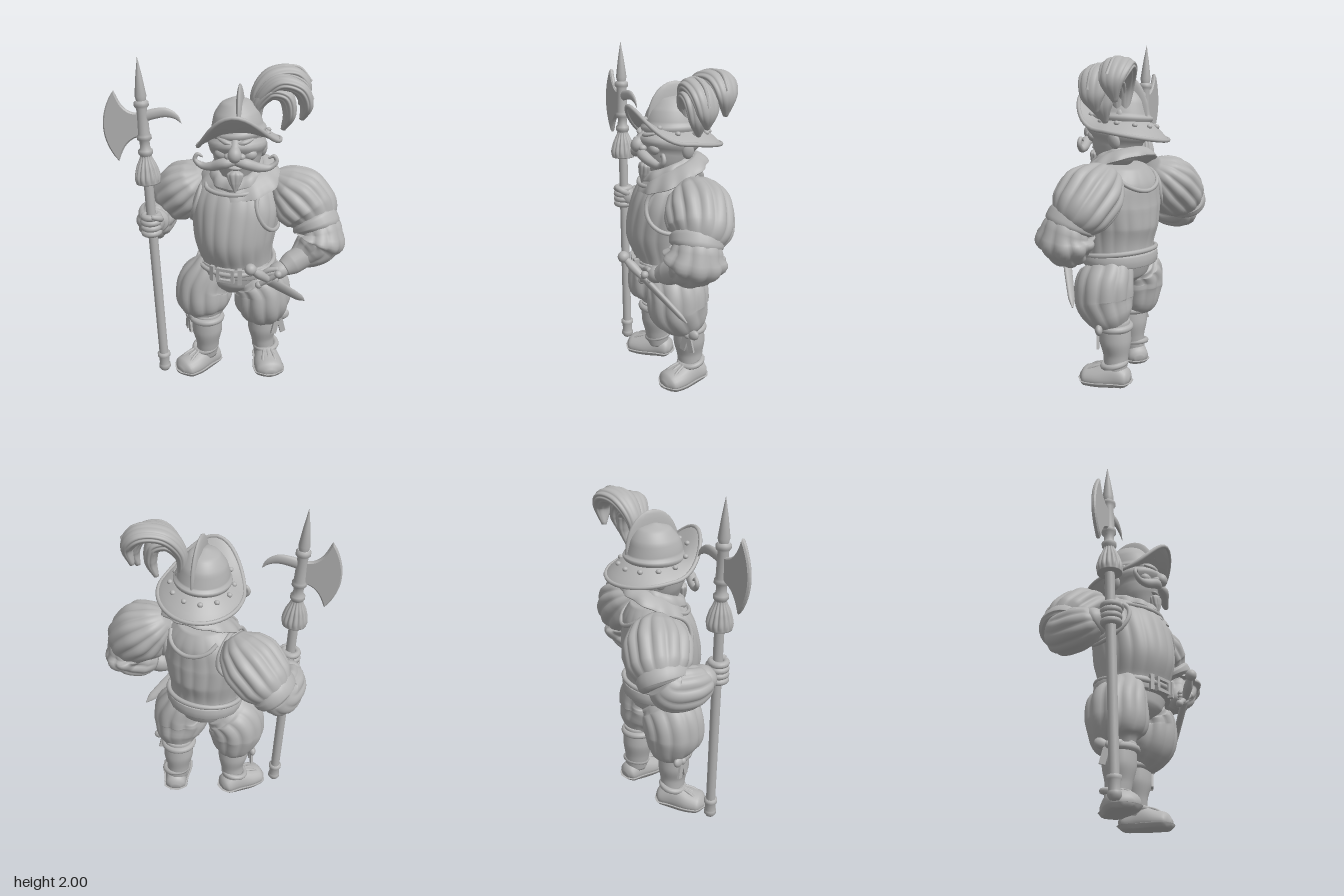
import * as THREE from 'three';

const grey = new THREE.MeshStandardMaterial({ color: 0xb3b3b3 });
grey.name = 'plain grey';
const V = (x, y, z) => new THREE.Vector3(x, y, z);
const X = V(1, 0, 0), Y = V(0, 1, 0), Z = V(0, 0, 1), PI = Math.PI;

function add(parent, name, geo, pos = [0, 0, 0], rot = [0, 0, 0], scale = [1, 1, 1]) {
  const m = new THREE.Mesh(geo, grey);
  m.name = name;
  m.position.set(...pos); m.rotation.set(...rot); m.scale.set(...scale);
  parent.add(m);
  return m;
}
function group(parent, name, pos = [0, 0, 0], rot = [0, 0, 0]) {
  const g = new THREE.Group();
  g.name = name; g.position.set(...pos); g.rotation.set(...rot);
  parent.add(g);
  return g;
}
const ball = (p, name, pos, s, rot) => add(p, name, new THREE.SphereGeometry(1, 20, 14), pos, rot, s);

// surface from fn(u, angle), closed around the angle, optionally capped
function grid(nu, nv, fn, caps) {
  const pos = [], idx = [];
  for (let i = 0; i <= nu; i++) for (let j = 0; j < nv; j++) pos.push(...fn(i / nu, j / nv * 2 * PI).toArray());
  for (let i = 0; i < nu; i++) for (let j = 0; j < nv; j++) {
    const k = (j + 1) % nv, a = i * nv, b = a + nv;
    idx.push(a + j, a + k, b + k, a + j, b + k, b + j);
  }
  if (caps) for (const [u, row] of [[0, 0], [1, nu * nv]]) {
    const c = fn(u, 0).add(fn(u, PI)).multiplyScalar(0.5), n = pos.length / 3;
    pos.push(...c.toArray());
    for (let j = 0; j < nv; j++) {
      const k = (j + 1) % nv;
      idx.push(n, row + (u ? j : k), row + (u ? k : j));
    }
  }
  const g = new THREE.BufferGeometry();
  g.setAttribute('position', new THREE.Float32BufferAttribute(pos, 3));
  g.setIndex(idx);
  g.computeVertexNormals();
  return g;
}

// rows are [x, y, z, halfA, halfB]; A lies along ref, B across it
function section(rows, ref = X, lobes = 0, depth = 0) {
  const path = new THREE.CatmullRomCurve3(rows.map(r => V(r[0], r[1], r[2])));
  const size = new THREE.CatmullRomCurve3(rows.map(r => V(r[3], r[4], 0)));
  return (t, a, grow = 0) => {
    const T = path.getTangent(t), A = ref.clone().addScaledVector(T, -T.dot(ref)).normalize();
    const B = T.clone().cross(A), s = size.getPoint(t);
    const k = 1 - depth * Math.sin(PI * t) * (1 - Math.abs(Math.sin(lobes * a / 2)));
    return path.getPoint(t).addScaledVector(A, (Math.max(s.x, 0.001) * k + grow) * Math.cos(a))
      .addScaledVector(B, (Math.max(s.y, 0.001) * k + grow) * Math.sin(a));
  };
}
function loft(parent, name, rows, { ref = X, lobes = 0, depth = 0, nu = 24, nv = 24 } = {}) {
  return add(parent, name, grid(nu, lobes ? lobes * 8 : nv, section(rows, ref, lobes, depth), true));
}
// flat band running round the y axis; edge(k, a) with k 0 inside and 1 outside
const band = (edge, thick, nv = 64) => grid(12, nv, (u, a) =>
  edge(0.5 + 0.5 * Math.cos(u * 2 * PI), a).add(V(0, thick * Math.sin(u * 2 * PI), 0)));
const tube = (p, name, pts, r, closed = false) =>
  add(p, name, new THREE.TubeGeometry(new THREE.CatmullRomCurve3(pts, closed), 48, r, 8, closed));

function buildBody(root) {
  const g = group(root, 'body');
  const rows = [[.025, .74, 0, .215, .195], [.025, .82, .01, .22, .207], [.02, .95, .02, .245, .243],
    [.02, 1.1, .005, .265, .23], [.02, 1.22, -.02, .235, .195], [.02, 1.31, -.03, .14, .13]];
  loft(g, 'breastplate', rows, { lobes: 18, depth: .03, nu: 32 });
  const at = section(rows);
  for (const side of [0, PI]) tube(g, 'armholeRim', [...Array(16).keys()].map(i => {
    const b = i / 16 * 2 * PI;
    return at(.7 + .22 * Math.sin(b), side + .8 * Math.cos(b), .003);
  }), .013, true);
  for (const f of [-PI / 2, PI / 2]) tube(g, 'necklineRim',
    [-.9, -.6, -.3, 0, .3, .6, .9].map(d => at(.78 + .14 * d * d, f + d, .004)), .013);
  tube(g, 'waistRim', [...Array(20).keys()].map(i => at(.12, i / 20 * 2 * PI, .014)), .015, true);
  loft(g, 'hips', [[.01, .57, .01, .06, .08], [.015, .65, .01, .18, .165], [.025, .75, 0, .22, .19]]);
  loft(g, 'belt', [[.025, .715, 0, .2, .18], [.025, .72, 0, .24, .212], [.025, .755, 0, .247, .217], [.025, .79, 0, .24, .212],
    [.025, .795, 0, .2, .18]]);
  // buckle and loops
  for (const s of [-1, 1]) {
    add(g, 'buckleBar', new THREE.BoxGeometry(.1, .018, .025), [.04, .755 + s * .035, .222]);
    add(g, 'buckleSide', new THREE.BoxGeometry(.018, .085, .025), [.04 + s * .045, .755, .222]);
    add(g, 'beltLoop', new THREE.BoxGeometry(.025, .095, .03), [.04 + s * .085, .755, .21], [0, s * .3, 0]);
  }
  // broad collar and scarf
  add(g, 'collar', band((k, a) => {
    const r = .12 + .085 * k + .006 * k * Math.sin(a * 11);
    return V(.045 + r * (1.05 + .12 * k) * Math.sin(a), 1.365 - .07 * k - (.05 + .035 * k) * Math.cos(a), -.015 + r * Math.cos(a));
  }, .022, 96));
  add(g, 'scarf', band((k, a) => {
    const r = .1 + .06 * k + .005 * Math.sin(a * 9);
    return V(.035 + r * Math.sin(a), 1.36 - .03 * k - .055 * Math.cos(a), .01 + r * Math.cos(a));
  }, .035, 96));
}

function buildLegs(root) {
  for (const [side, s, z, cx] of [['left', 1, -.1, .165], ['right', -1, .07, .15]]) {
    const g = group(root, side + 'Leg'), zp = (z - .02) * .5 + .03;
    loft(g, 'puffedBreeches', [[s * .105 + .01, .725, .005, .1, .15], [s * .13 + .01, .68, zp * .6, .135, .175], [s * (cx + .015), .6, zp, .17, .187],
      [s * (cx + .02), .52, zp * 1.1, .175, .187], [s * (cx + .015), .42, z * .75, .14, .15], [s * cx, .355, z, .085, .085]], { lobes: 11, depth: .08 });
    loft(g, 'calf', [[s * cx, .4, z, .09, .09], [s * cx, .28, z - .005, .095, .096], [s * cx, .18, z - .01, .072, .08],
      [s * (cx + .01), .08, z - .015, .065, .07]]);
    add(g, 'garter', new THREE.TorusGeometry(.09, .022, 10, 32), [s * cx, .36, z], [PI / 2, 0, 0]);
    // bow at the outer side of the knee
    const bow = group(g, 'bow', [s * (cx + .11), .36, z + .02], [0, s * .8, 0]);
    ball(bow, 'knot', [0, 0, 0], [.024, .026, .026]);
    for (const k of [-1, 1]) {
      ball(bow, 'bowLoop', [k * .042, .01, 0], [.038, .032, .022], [0, 0, k * .3]);
      add(bow, 'ribbonEnd', new THREE.BoxGeometry(.036, .1, .014), [k * .022, -.06, .005], [0, 0, k * .25]);
    }
    // shoe with flat sole
    const shoe = group(g, 'shoe', [s * (cx + .04), 0, z + .025], [0, s * .5, 0]);
    const foot = (name, grow, lo, hi) => {
      const m = loft(shoe, name, [[0, .04, -.145 - grow, .02, .03], [0, .045, -.12, .06, .065 + grow], [0, .05, -.04, .095, .072 + grow],
        [0, .04, .06, .075, .09 + grow], [0, .035, .13, .06, .085 + grow], [0, .03, .165 + grow, .02, .03]], { ref: Y });
      const p = m.geometry.attributes.position;
      for (let i = 0; i < p.count; i++) p.setY(i, Math.min(hi, Math.max(lo, p.getY(i))));
      m.geometry.computeVertexNormals();
    };
    foot('shoeUpper', 0, .02, 1);
    foot('sole', .01, 0, .026);
    add(shoe, 'shoeCuff', new THREE.TorusGeometry(.07, .018, 8, 28), [0, .13, -.045], [PI / 2 + .2, 0, 0]);
    for (const k of [-1, 0, 1]) tube(shoe, 'shoeRib', [V(k * .02, .125, .02), V(k * .035, .105, .08), V(k * .045, .065, .135)], .009);
  }
}

function buildArms(root) {
  const l = group(root, 'leftArm'), r = group(root, 'rightArm'), cuffs = { lobes: 10, depth: .1 };
  loft(l, 'upperSleeve', [[.22, 1.29, -.08, .06, .06], [.275, 1.25, -.1, .15, .13], [.37, 1.175, -.12, .195, .185],
    [.45, 1.1, -.12, .185, .17], [.5, 1.035, -.1, .13, .12]], { ref: Z, lobes: 13, depth: .11 });
  loft(l, 'elbowBand', [[.465, 1.07, -.1, .13, .13], [.48, 1.05, -.095, .152, .14], [.495, 1.025, -.09, .15, .14], [.505, 1, -.085, .12, .12]], { ref: Z });
  loft(l, 'lowerSleeve', [[.5, 1.045, -.095, .12, .11], [.525, .985, -.085, .152, .13], [.51, .92, -.07, .152, .13], [.46, .87, -.03, .12, .105], [.41, .84, .02, .06, .06]], { ref: Z, ...cuffs });
  loft(l, 'cuff', [[.46, .865, 0, .07, .07], [.395, .825, .05, .066, .07], [.355, .8, .09, .05, .05]], { ref: Z });
  ball(l, 'hand', [.33, .79, .11], [.065, .05, .055], [0, .4, .4]);
  for (let i = 0; i < 4; i++) loft(l, 'finger', [[.34, .82 - i * .022, .15, .014, .014], [.29, .81 - i * .024, .165, .016, .016], [.25, .785 - i * .02, .175, .012, .012]], { ref: Y, nu: 8, nv: 10 });

  loft(r, 'upperSleeve', [[-.19, 1.28, -.05, .06, .06], [-.24, 1.235, -.06, .15, .13], [-.33, 1.16, -.07, .195, .175],
    [-.42, 1.08, -.08, .18, .165], [-.49, 1.01, -.08, .11, .11]], { ref: Z, lobes: 13, depth: .11 });
  loft(r, 'elbowBand', [[-.44, 1.06, -.08, .13, .12], [-.465, 1.04, -.075, .15, .135], [-.48, 1.015, -.07, .145, .13], [-.49, 1, -.065, .12, .11]], { ref: Z });
  loft(r, 'lowerSleeve', [[-.49, 1.03, -.08, .1, .09], [-.5, .98, -.03, .13, .11], [-.49, .975, .06, .13, .115], [-.46, .99, .14, .1, .1], [-.44, 1, .18, .06, .06]], { ref: Y, ...cuffs });
  loft(r, 'cuff', [[-.46, .99, .12, .08, .09], [-.44, 1.01, .17, .075, .085], [-.425, 1.02, .2, .05, .06]], { ref: Y });
  ball(r, 'palm', [-.41, 1.03, .225], [.06, .07, .05]);
  for (let i = 0; i < 4; i++) add(r, 'finger', new THREE.TorusGeometry(.043, .02, 10, 24), [-.418, .975 + i * .034, .25], [PI / 2, .05, 0]);
  loft(r, 'thumb', [[-.37, 1.05, .22, .018, .018], [-.36, 1.075, .26, .02, .02], [-.39, 1.09, .3, .012, .012]], { ref: Y, nu: 8, nv: 10 });
}

function buildHead(root) {
  const h = group(root, 'head', [.03, 0, 0], [0, .28, 0]);
  loft(h, 'face', [[0, 1.27, .04, .04, .04], [0, 1.31, .04, .08, .09], [0, 1.38, .025, .125, .135], [0, 1.46, .01, .145, .16],
    [0, 1.55, 0, .145, .16], [0, 1.63, 0, .12, .13]]);
  loft(h, 'nose', [[0, 1.56, .15, .02, .015], [0, 1.52, .175, .028, .03], [0, 1.485, .195, .04, .042], [0, 1.45, .185, .022, .022]]);
  loft(h, 'goatee', [[0, 1.385, .15, .02, .02], [0, 1.36, .155, .05, .035], [0, 1.31, .16, .035, .03], [0, 1.26, .175, .003, .003]], { lobes: 8, depth: .15 });
  ball(h, 'lowerLip', [0, 1.4, .155], [.04, .014, .02]);
  for (const s of [-1, 1]) {
    ball(h, 'nostril', [s * .036, 1.475, .18], [.024, .02, .024]);
    ball(h, 'cheek', [s * .075, 1.475, .125], [.045, .035, .035]);
    ball(h, 'eye', [s * .055, 1.52, .145], [.022, .014, .014]);
    loft(h, 'eyebrow', [[s * .012, 1.54, .165, .008, .01], [s * .05, 1.552, .165, .014, .018], [s * .1, 1.565, .13, .006, .006]], { ref: Y, nu: 12, nv: 12 });
    loft(h, 'moustache', [[0, 1.445, .185, .018, .018], [s * .06, 1.437, .185, .032, .031], [s * .13, 1.41, .16, .026, .027], [s * .195, 1.407, .14, .017, .017],
      [s * .23, 1.44, .13, .013, .013], [s * .215, 1.47, .13, .011, .011], [s * .185, 1.455, .13, .005, .005]], { ref: Z, nu: 36, nv: 14 });
    ball(h, 'ear', [s * .148, 1.46, -.05], [.022, .05, .036], [.2, 0, -s * .2]);
  }
  // comb helmet with swept brim
  const tilt = group(h, 'helmet', [0, 1.58, 0], [0, 0, .09]), m = group(tilt, 'helmetParts', [0, -1.58, 0]);
  loft(m, 'helmetDome', [[0, 1.54, -.02, .15, .17], [0, 1.6, -.02, .15, .17], [0, 1.68, -.025, .128, .145], [0, 1.74, -.025, .08, .095], [0, 1.765, -.025, .01, .01]], { nv: 40 });
  ball(m, 'helmetComb', [.02, 1.61, -.025], [.027, .225, .172], [0, 0, -.06]);
  const edge = (k, a) => {
    const c = Math.cos(a), front = c > 0 ? c * c * (.5 + .5 * c) : 0;
    return V((.135 + .105 * k) * Math.sin(a), 1.565 + .015 * front + k * (-.065 + .195 * front + .04 * Math.min(c, 0)), -.03 + (.155 + .118 * k) * c);
  };
  add(m, 'helmetBrim', band(edge, .009));
  tube(m, 'brimEdge', [...Array(32).keys()].map(i => edge(1, i / 32 * 2 * PI)), .012, true);
  for (let i = 0; i < 12; i++) ball(m, 'rivet', edge(.4, (i + .5) / 12 * 2 * PI).add(V(0, .012, 0)).toArray(), [.016, .014, .016]);
}

function buildPlume(root) {
  const g = group(root, 'plume'), ref = V(.5, 0, .85);
  const widths = [[.015, .015], [.055, .036], [.085, .046], [.09, .046], [.07, .038], [.014, .014]];
  const feathers = [
    [[.1, 1.6, -.12], [.1, 1.76, -.12], [.17, 1.865, -.17], [.28, 1.875, -.24], [.345, 1.8, -.265], [.32, 1.69, -.265]],
    [[.12, 1.6, -.09], [.14, 1.75, -.08], [.24, 1.845, -.1], [.345, 1.815, -.14], [.385, 1.72, -.16], [.36, 1.63, -.16]],
    [[.12, 1.6, -.08], [.12, 1.71, -.08], [.19, 1.79, -.1], [.27, 1.77, -.12], [.295, 1.67, -.13], [.26, 1.57, -.13]]];
  for (const f of feathers) {
    loft(g, 'feather', f.map((p, i) => [...p, ...widths[i]]), { ref, lobes: 10, depth: .1, nu: 36 });
    tube(g, 'quill', f.slice(0, 5).map((p, i) => V(p[0] + i * .009, p[1] + widths[i][1] * .8, p[2])), .01);
  }
  ball(g, 'plumeHolder', [.12, 1.6, -.1], [.03, .045, .03]);
}

function buildHalberd(root) {
  const g = group(root, 'halberd', [-.37, 0, .245], [0, 0, .045]);
  const lathe = (name, pts) => add(g, name, new THREE.LatheGeometry(pts.map(p => new THREE.Vector2(...p)), 28));
  lathe('pole', [[.028, .1], [.028, 1.48]]);
  lathe('ferrule', [[0, .015], [.025, .02], [.038, .04], [.036, .06], [.031, .065], [.033, .115], [.04, .12], [.04, .14], [.028, .145]]);
  lathe('socket', [[.028, 1.44], [.042, 1.46], [.042, 1.48], [.03, 1.49], [.028, 1.53], [.042, 1.545], [.042, 1.565], [.034, 1.575],
    [.03, 1.72], [.042, 1.735], [.042, 1.755], [.03, 1.765]]);
  lathe('spike', [[.024, 1.75], [.033, 1.79], [.018, 1.9], [.001, 2]]);
  loft(g, 'tassel', [[0, 1.285, 0, .07, .07], [0, 1.32, 0, .076, .076], [0, 1.38, 0, .062, .062], [0, 1.44, 0, .035, .035], [0, 1.47, 0, .03, .03]], { lobes: 14, depth: .16 });
  // axe blade and rear hook
  const head = group(g, 'axeHead', [0, 0, 0], [0, .38, 0]), s = new THREE.Shape();
  s.moveTo(0, 1.69);
  s.quadraticCurveTo(-.11, 1.67, -.15, 1.815);
  s.quadraticCurveTo(-.28, 1.62, -.155, 1.435);
  s.quadraticCurveTo(-.11, 1.57, 0, 1.57);
  add(head, 'axeBlade', new THREE.ExtrudeGeometry(s, { depth: .012, bevelSize: .008, bevelThickness: .008, bevelSegments: 1, curveSegments: 16 }), [0, 0, -.006]);
  loft(head, 'hook', [[0, 1.67, 0, .02, .03], [.06, 1.685, 0, .018, .03], [.13, 1.69, 0, .014, .027], [.185, 1.665, 0, .008, .016], [.215, 1.625, 0, .001, .001]], { ref: Z });
}

function buildDagger(root) {
  const a = V(.22, .86, .29), d = V(.45, .53, -.05).sub(a), len = d.length();
  const g = group(root, 'dagger', a.toArray());
  const y = d.clone().normalize(), x = V(.76, .64, 0).addScaledVector(y, -y.dot(V(.76, .64, 0))).normalize();
  g.quaternion.setFromRotationMatrix(new THREE.Matrix4().makeBasis(x, y, x.clone().cross(y)));
  ball(g, 'pommel', [0, 0, 0], [.034, .034, .034]);
  loft(g, 'grip', [[0, .02, 0, .018, .018], [0, .08, 0, .027, .027], [0, .16, 0, .02, .02]]);
  add(g, 'crossguard', new THREE.CylinderGeometry(.016, .016, .14, 12), [0, .165, 0], [0, 0, PI / 2]);
  for (const s of [-1, 1]) ball(g, 'guardKnob', [s * .072, .165, 0], [.022, .022, .022]);
  loft(g, 'scabbard', [[0, .165, 0, .036, .02], [0, .3, 0, .034, .018], [0, len - .06, 0, .026, .015], [0, len, 0, .004, .004]]);
}

export function createModel() {
  const root = new THREE.Group();
  root.name = 'halberdier';
  [buildBody, buildLegs, buildArms, buildHead, buildPlume, buildHalberd, buildDagger].forEach(build => build(root));
  return root;
}
